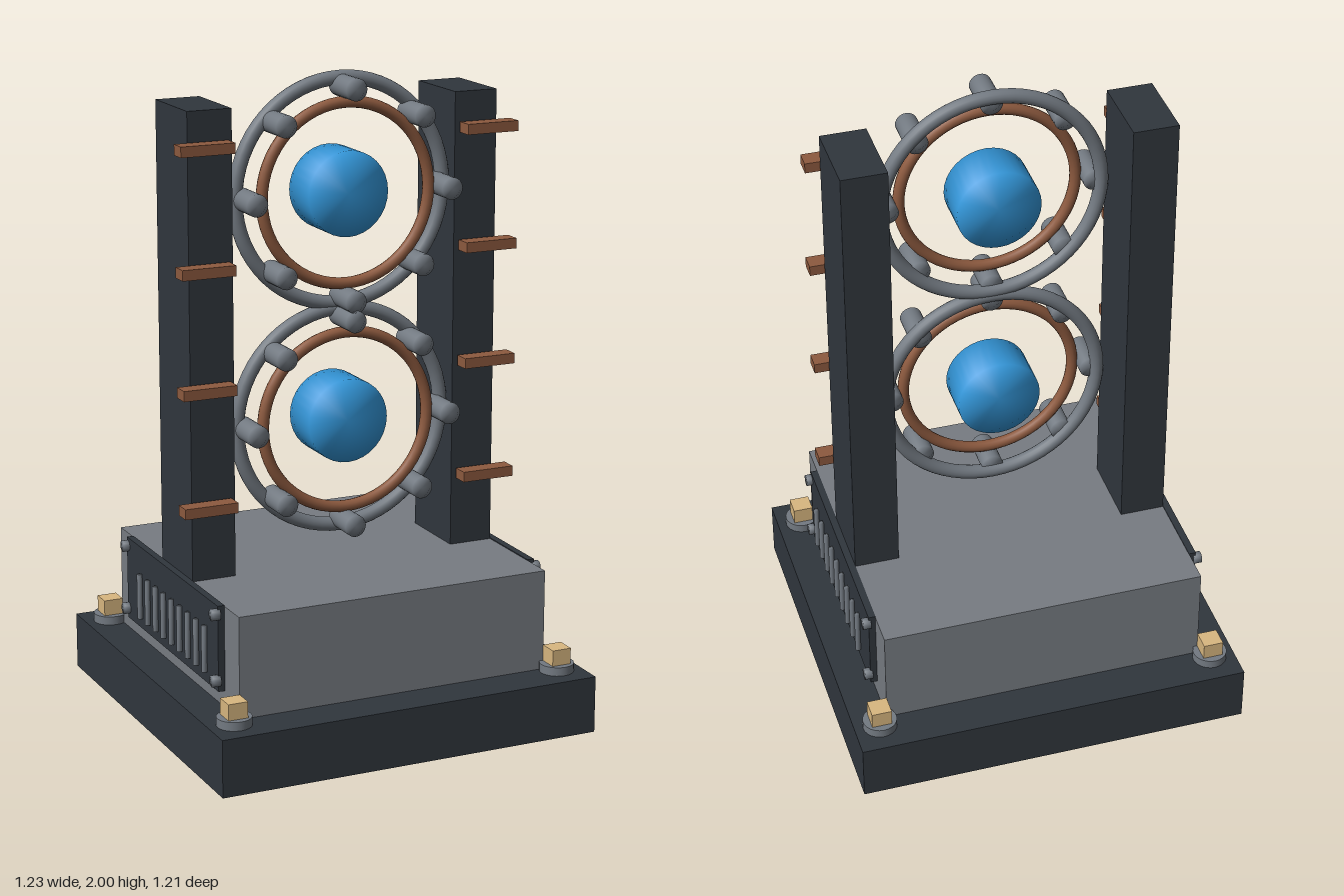
import * as THREE from 'three';
import { mergeVertices } from 'three/addons/utils/BufferGeometryUtils.js';

const mat = (color) => new THREE.MeshStandardMaterial({ color });

// Smooth the shading across the rims of a cylinder
function softCylinder(radius, length, sides = 32) {
  const g = new THREE.CylinderGeometry(radius, radius, length, sides);
  g.deleteAttribute('normal');
  g.deleteAttribute('uv');
  const soft = mergeVertices(g);
  soft.computeVertexNormals();
  return soft;
}

export function createModel() {
  const model = new THREE.Group();
  model.name = 'twinRingDevice';
  const dark = mat(0x30363d), grey = mat(0x777c82), steel = mat(0x737a82);
  const copper = mat(0x8d5a3f), brass = mat(0xd9b780), blue = mat(0x3498db);

  const add = (name, geometry, material, x, y, z, parent = model) => {
    const mesh = new THREE.Mesh(geometry, material);
    mesh.name = name;
    mesh.position.set(x, y, z);
    parent.add(mesh);
    return mesh;
  };
  const box = (w, h, d) => new THREE.BoxGeometry(w, h, d);

  // Plinth and housing
  add('plinth', box(1.23, 0.178, 1.21), dark, 0, 0.089, 0);
  add('housing', box(1.01, 0.315, 0.95), grey, 0, 0.3355, 0);

  // Corner anchor bolts
  const washer = new THREE.CylinderGeometry(0.053, 0.053, 0.027, 24);
  for (const sx of [-1, 1]) for (const sz of [-1, 1]) {
    add('anchorWasher', washer, steel, sx * 0.535, 0.1915, sz * 0.505);
    add('anchorBolt', box(0.062, 0.052, 0.062), brass, sx * 0.535, 0.229, sz * 0.505);
  }

  const rivet = softCylinder(0.018, 0.025, 16);
  const slat = softCylinder(0.009, 0.145, 12);
  for (const s of [-1, 1]) {
    const side = new THREE.Group();
    side.name = s > 0 ? 'leftSide' : 'rightSide';
    model.add(side);

    // Vented side panel with rivets
    add('ventPanel', box(0.022, 0.266, 0.735), dark, s * 0.515, 0.363, 0, side);
    for (let i = 0; i < 9; i++) {
      add('ventSlat', slat, steel, s * 0.533, 0.337, -0.245 + i * 0.0653, side);
    }
    for (const y of [0.263, 0.469]) for (const z of [-0.36, 0.36]) {
      add('panelRivet', rivet, steel, s * 0.532, y, z, side).rotation.z = Math.PI / 2;
    }

    // Pillar and its copper terminals
    add('pillar', box(0.14, 1.425, 0.244), dark, s * 0.434, 1.2025, 0, side);
    for (let i = 0; i < 4; i++) {
      add('copperTerminal', box(0.17, 0.032, 0.053), copper, s * 0.463, 0.725 + i * 0.361, 0.155, side);
    }
  }

  // Two stacked ring assemblies
  const outerRing = new THREE.TorusGeometry(0.34, 0.022, 16, 64);
  const innerRing = new THREE.TorusGeometry(0.273, 0.018, 12, 64);
  const stud = softCylinder(0.034, 0.12, 24);
  const core = softCylinder(0.13, 0.14, 32);
  for (const y of [0.941, 1.637]) {
    const ring = new THREE.Group();
    ring.name = y < 1.2 ? 'lowerRing' : 'upperRing';
    ring.position.y = y;
    model.add(ring);
    add('outerRing', outerRing, steel, 0, 0, 0.085, ring);
    add('copperRing', innerRing, copper, 0, 0, 0.127, ring);
    add('core', core, blue, 0, 0, 0.075, ring).rotation.x = Math.PI / 2;
    for (let i = 0; i < 8; i++) {
      const a = i * Math.PI / 4;
      add('ringStud', stud, steel, 0.318 * Math.cos(a), 0.318 * Math.sin(a), 0.14, ring)
        .rotation.x = Math.PI / 2;
    }
  }
  return model;
}
